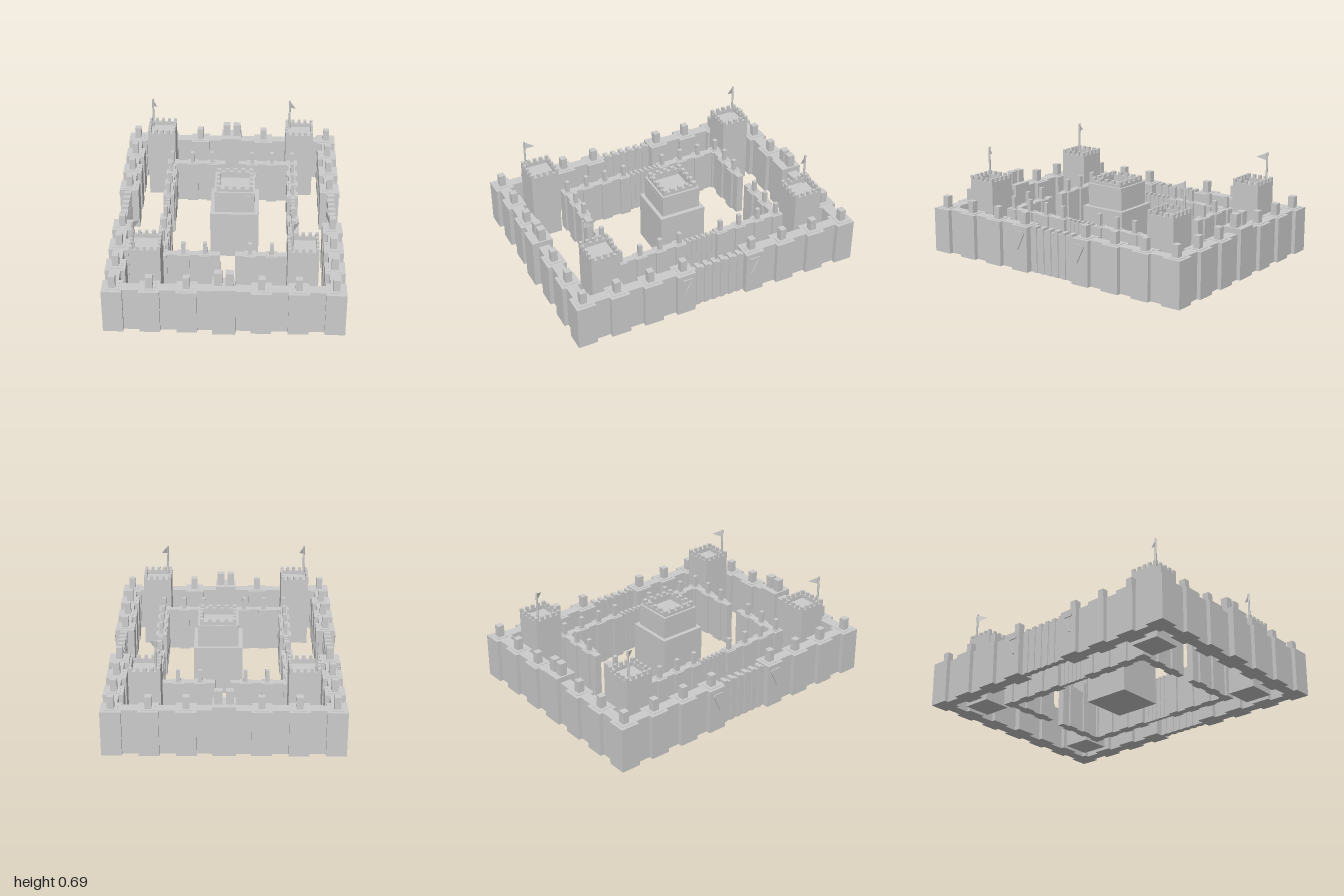
import * as THREE from 'three';

const mat = new THREE.MeshStandardMaterial({ color: 0xcccccc, flatShading: true });
const thinMat = new THREE.MeshStandardMaterial({ color: 0xcccccc, side: THREE.DoubleSide });
const H = 0.3; // wall height

// Box given by its centre in plan, its size and its bottom and top
function block(parent, name, x, z, w, d, y0, y1) {
  const m = new THREE.Mesh(new THREE.BoxGeometry(w, y1 - y0, d), mat);
  m.name = name;
  m.position.set(x, (y0 + y1) / 2, z);
  parent.add(m);
  return m;
}

function group(parent, name) {
  const g = new THREE.Group();
  g.name = name;
  parent.add(g);
  return g;
}

// Square wall pier with a low plinth and a tall merlon
function pier(parent, x, z, size, merlon) {
  const g = group(parent, 'wallPier');
  block(g, 'pier', x, z, size, size, 0, H);
  block(g, 'pierPlinth', x, z, size * 0.66, size * 0.66, H, H + 0.003);
  block(g, 'pierMerlon', x, z, merlon, merlon, H, 0.382);
}

// Thin ribbed stretch of wall with a toothed top
function ribbedWall(parent, x, z0, z1, thin, thick, teeth) {
  const g = group(parent, 'ribbedWall');
  block(g, 'ribbedWallCore', x, (z0 + z1) / 2, thin, z1 - z0, 0, 0.29);
  const step = (z1 - z0) / (2 * teeth + 1);
  for (let i = 0; i < teeth; i++)
    block(g, 'rib', x, z0 + step * (2 * i + 1.5), thick, step, 0, 0.307);
}

// Square parapet around a sunken floor, with evenly spaced merlons
function parapet(parent, x, z, size, t, y0, notch, top, merlons) {
  const g = group(parent, 'parapet');
  const r = (size - t) / 2;
  const step = size / (2 * merlons - 1);
  for (const s of [-1, 1]) {
    block(g, 'parapetWall', x, z + s * r, size, t, y0, notch);
    block(g, 'parapetWall', x + s * r, z, t, size - 2 * t, y0, notch);
    for (let i = 0; i < merlons; i++) {
      const o = -size / 2 + step * (2 * i + 0.5);
      block(g, 'merlon', x + o, z + s * r, step, t, notch, top);
      if (i > 0 && i < merlons - 1) block(g, 'merlon', x + s * r, z + o, t, step, notch, top);
      else block(g, 'merlon', x + s * r, z + Math.sign(o) * (size / 2 - t - (step - t) / 2), t, step - t, notch, top);
    }
  }
}

// Pole with a triangular pennant flying in direction (dx, dz)
function flag(parent, x, z, dx, dz) {
  const g = group(parent, 'flag');
  const pole = new THREE.Mesh(new THREE.CylinderGeometry(0.007, 0.007, 0.23, 8), mat);
  pole.name = 'flagPole';
  pole.position.set(x, 0.57, z);
  const shape = new THREE.Shape([[0, 0.63], [0.072, 0.656], [0, 0.682]].map(p => new THREE.Vector2(...p)));
  const pennant = new THREE.Mesh(new THREE.ShapeGeometry(shape), thinMat);
  pennant.name = 'pennant';
  pennant.position.set(x, 0, z);
  pennant.rotation.y = Math.atan2(-dz, dx);
  g.add(pole, pennant);
}

export function createModel() {
  const root = new THREE.Group();
  root.name = 'castle';

  // Outer curtain wall, front and back, each with a central gatehouse
  const outer = group(root, 'outerWall');
  for (const [z, gateZ] of [[-0.937, -0.93], [0.922, 0.93]]) {
    block(outer, 'curtainWall', 0, z, 1.38, 0.074, 0, H);
    for (const x of [0.23, 0.46, 0.688])
      for (const s of [-1, 1]) pier(outer, s * x, z, 0.128, 0.043);
    const gate = group(outer, 'gatehouse');
    block(gate, 'gateBlock', -0.001, gateZ, 0.144, 0.14, 0, 0.335);
    for (const x of [-0.036, 0.035]) block(gate, 'gateMerlon', x, z + 0.002, 0.05, 0.048, 0.335, 0.422);
  }

  // Outer curtain wall, left and right, with a ribbed middle
  for (const s of [-1, 1]) {
    const x = s * 0.688;
    block(outer, 'curtainWall', x, -0.595, 0.07, 0.69, 0, H);
    block(outer, 'curtainWall', x, 0.58, 0.07, 0.69, 0, H);
    for (const z of [-0.71, -0.483, -0.255, 0.238, 0.466, 0.694]) pier(outer, x, z, 0.128, 0.043);
    ribbedWall(outer, s * 0.694, -0.2, 0.18, 0.034, 0.048, 6);
    // Angled brackets on the outer faces beside the ribbed middle
    for (const z of [-0.25, 0.235]) {
      const b = group(outer, 'wallBracket');
      block(b, 'bracketBar', s * 0.755, z, 0.008, 0.07, 0.25, 0.268);
      const strut = block(b, 'bracketStrut', s * 0.755, z - 0.01, 0.008, 0.01, 0.14, 0.265);
      strut.rotation.x = -0.45;
    }
  }

  // Inner wall, open at the middle of the front and back
  const inner = group(root, 'innerWall');
  for (const z of [-0.587, 0.552]) {
    block(inner, 'innerWallRun', -0.225, z, 0.376, 0.046, 0, H);
    block(inner, 'innerWallRun', 0.246, z, 0.376, 0.046, 0, H);
    for (const x of [-0.27, -0.132, 0.153, 0.292]) pier(inner, x, z, 0.074, 0.026);
  }
  for (const x of [-0.412, 0.434]) {
    block(inner, 'innerWallRun', x, -0.378, 0.046, 0.418, 0, H);
    block(inner, 'innerWallRun', x, 0.342, 0.046, 0.42, 0, H);
    for (const z of [-0.587, -0.448, -0.307, -0.168, 0.132, 0.272, 0.412, 0.552]) pier(inner, x, z, 0.074, 0.026);
    ribbedWall(inner, x, -0.135, 0.1, 0.02, 0.03, 6);
  }

  // Four corner towers with flags
  const flagDirs = { '-1,-1': [0.5, 0.85], '1,-1': [0.55, 0.83], '-1,1': [0.5, -0.86], '1,1': [0.55, -0.83] };
  for (const sx of [-1, 1]) for (const sz of [-1, 1]) {
    const t = group(root, 'cornerTower');
    const x = sx < 0 ? -0.492 : 0.484;
    const z = sz < 0 ? -0.742 : 0.712;
    block(t, 'towerBody', x, z, 0.193, 0.193, 0, 0.465);
    parapet(t, x, z, 0.193, 0.016, 0.465, 0.492, 0.517, 5);
    flag(t, x - 0.069, sz < 0 ? -0.805 : 0.785, ...flagDirs[`${sx},${sz}`]);
  }

  // Central keep: wide base, narrower upper storey, battlements
  const keep = group(root, 'keep');
  const kx = 0.044, kz = -0.014;
  block(keep, 'keepBase', kx, kz, 0.322, 0.32, 0, 0.335);
  block(keep, 'keepUpper', kx, kz, 0.266, 0.27, 0.335, 0.462);
  parapet(keep, kx, kz, 0.268, 0.036, 0.462, 0.485, 0.4855, 2);
  parapet(keep, kx, kz, 0.24, 0.022, 0.47, 0.505, 0.525, 5);
  return root;
}
